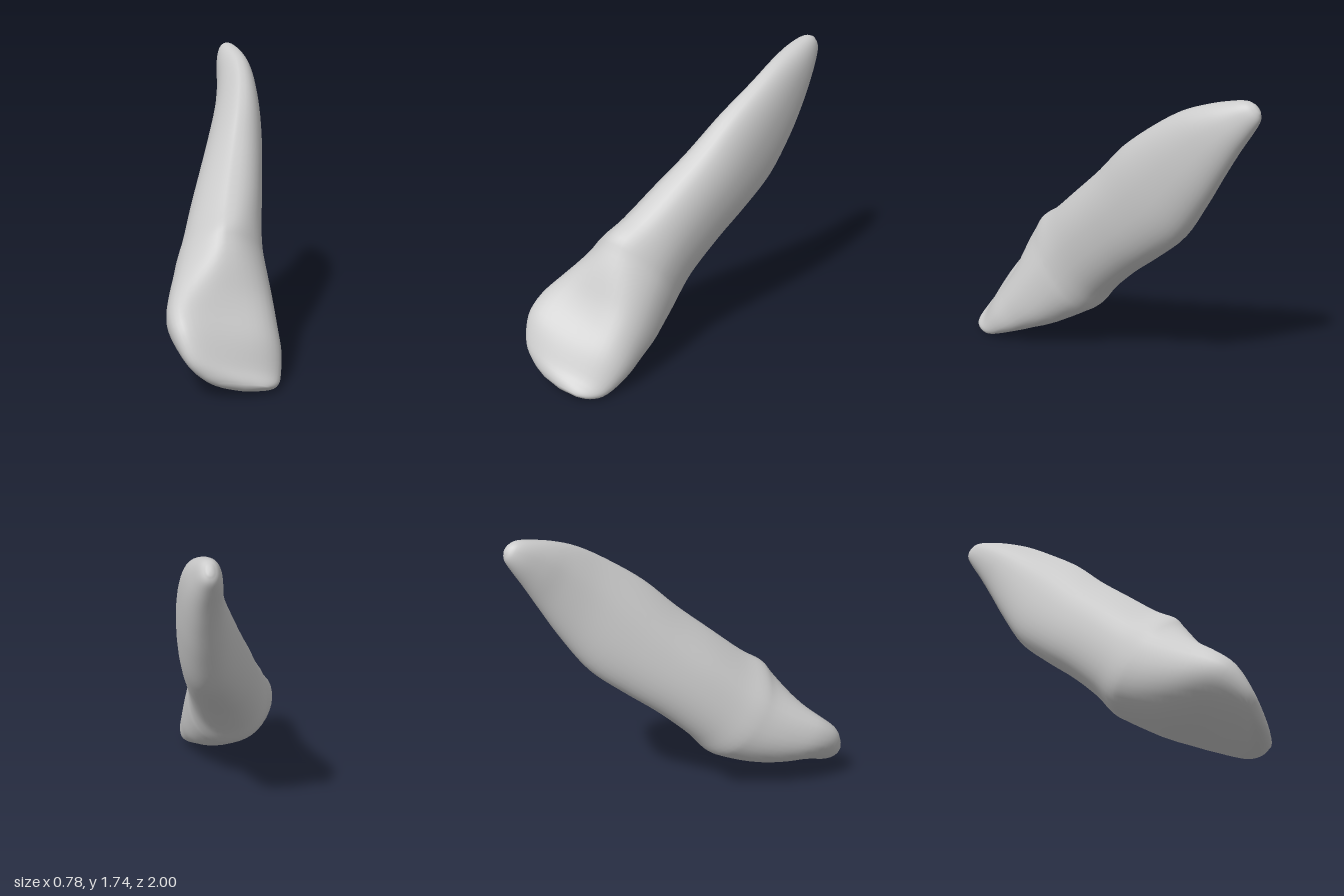
import * as THREE from 'three';

// Cross-sections along the leaning tooth axis, from biting edge to root tip:
// [along, xMin, xMax, upper, lower, tilt]
const SECTIONS = [
  [-0.75, -0.14, 0.10, 0.67, 0.61, -0.15],
  [-0.72, -0.23, 0.16, 0.71, 0.56, -0.25],
  [-0.65, -0.32, 0.205, 0.765, 0.51, -0.36],
  [-0.50, -0.38, 0.24, 0.84, 0.455, -0.36],
  [-0.35, -0.39, 0.245, 0.87, 0.40, -0.30],
  [-0.20, -0.36, 0.245, 0.89, 0.35, -0.23],
  [0.00, -0.30, 0.235, 0.93, 0.31, -0.10],
  [0.10, -0.27, 0.23, 0.955, 0.302, -0.04],
  [0.25, -0.215, 0.245, 0.942, 0.335, 0],
  [0.50, -0.135, 0.29, 0.95, 0.357, 0],
  [0.75, -0.05, 0.335, 0.96, 0.358, 0],
  [1.00, 0.035, 0.37, 0.985, 0.372, 0],
  [1.25, 0.115, 0.387, 0.973, 0.452, 0],
  [1.45, 0.16, 0.385, 0.945, 0.532, 0],
  [1.60, 0.18, 0.37, 0.895, 0.592, 0],
  [1.72, 0.20, 0.343, 0.838, 0.635, 0],
  [1.79, 0.225, 0.318, 0.795, 0.665, 0],
  [1.82, 0.255, 0.29, 0.755, 0.70, 0],
];
const RINGS = 68;
const SIDES = 40;
const EXPONENT = 2.25;
const { smoothstep } = THREE.MathUtils;

// Smooth curve through three neighbouring columns of the section list
function columnCurve(first) {
  const points = SECTIONS.map((s) => new THREE.Vector3(...s.slice(first, first + 3)));
  return new THREE.CatmullRomCurve3(points, false, 'catmullrom', 0.5);
}

// Lean the axis back: t runs along the tooth, h across its thickness
function place(x, t, h) {
  return [x, 0.617 * t + 0.787 * h, -0.787 * t + 0.617 * h];
}

function rounded(v) {
  return Math.sign(v) * Math.abs(v) ** (2 / EXPONENT);
}

function bump(t, centre, width) {
  return Math.exp(-(((t - centre) / width) ** 2));
}

function toothGeometry() {
  const widths = columnCurve(0);
  const depths = columnCurve(3);
  const positions = [];
  const index = [];
  const centres = [];

  // Rounded, tilted loops with a dished upper side on the crown
  for (let i = 0; i <= RINGS; i++) {
    const { x: t, y: xMin, z: xMax } = widths.getPoint(i / RINGS);
    const { x: upper, y: lower, z: tilt } = depths.getPoint(i / RINGS);
    const cx = (xMin + xMax) / 2;
    const ch = (upper + lower) / 2;
    const a = (xMax - xMin) / 2;
    const half = (upper - lower) / 2;
    const b = Math.sqrt(Math.max(half * half - (tilt * a) ** 2, 0.0001));
    const hollow = 0.06 * bump(t, -0.35, 0.22);
    // The upper side narrows to a ridge, mostly from the -x flank
    const narrowMinus = 0.48 * smoothstep(t, -0.4, 0.05) * (1 - smoothstep(t, 1.3, 1.8));
    const narrowPlus = 0.25 * bump(t, 0.05, 0.2);
    // The -x end of the biting edge is set back a little
    const skew = 0.1 * smoothstep(-t, 0.3, 0.7);
    centres.push([cx, t, ch]);
    for (let j = 0; j < SIDES; j++) {
      const angle = (j / SIDES) * Math.PI * 2;
      const up = Math.max(Math.sin(angle), 0);
      const side = a * rounded(Math.cos(angle));
      const x = side * (1 - (side < 0 ? narrowMinus : narrowPlus) * up * up);
      const h = b * rounded(Math.sin(angle)) + tilt * x - hollow * up ** 4;
      positions.push(...place(cx + x, t + skew * Math.max(-x, 0), ch + h));
    }
  }

  // Skin between neighbouring loops
  for (let i = 0; i < RINGS; i++) {
    for (let j = 0; j < SIDES; j++) {
      const k = (j + 1) % SIDES;
      const p = i * SIDES + j;
      const q = i * SIDES + k;
      index.push(p, p + SIDES, q, q, p + SIDES, q + SIDES);
    }
  }

  // Closed ends, slightly domed
  const first = positions.length / 3;
  const [s, e] = [centres[0], centres[RINGS]];
  positions.push(...place(s[0], s[1] - 0.006, s[2]), ...place(e[0], e[1] + 0.005, e[2]));
  const last = RINGS * SIDES;
  for (let j = 0; j < SIDES; j++) {
    const k = (j + 1) % SIDES;
    index.push(first, j, k, first + 1, last + k, last + j);
  }

  const geometry = new THREE.BufferGeometry();
  geometry.setAttribute('position', new THREE.Float32BufferAttribute(positions, 3));
  geometry.setIndex(index);
  geometry.computeVertexNormals();
  return geometry;
}

export function createModel() {
  const group = new THREE.Group();
  group.name = 'incisorTooth';
  const material = new THREE.MeshStandardMaterial({ color: 0xcccccc });
  const tooth = new THREE.Mesh(toothGeometry(), material);
  tooth.name = 'crownAndRoot';
  group.add(tooth);
  return group;
}
